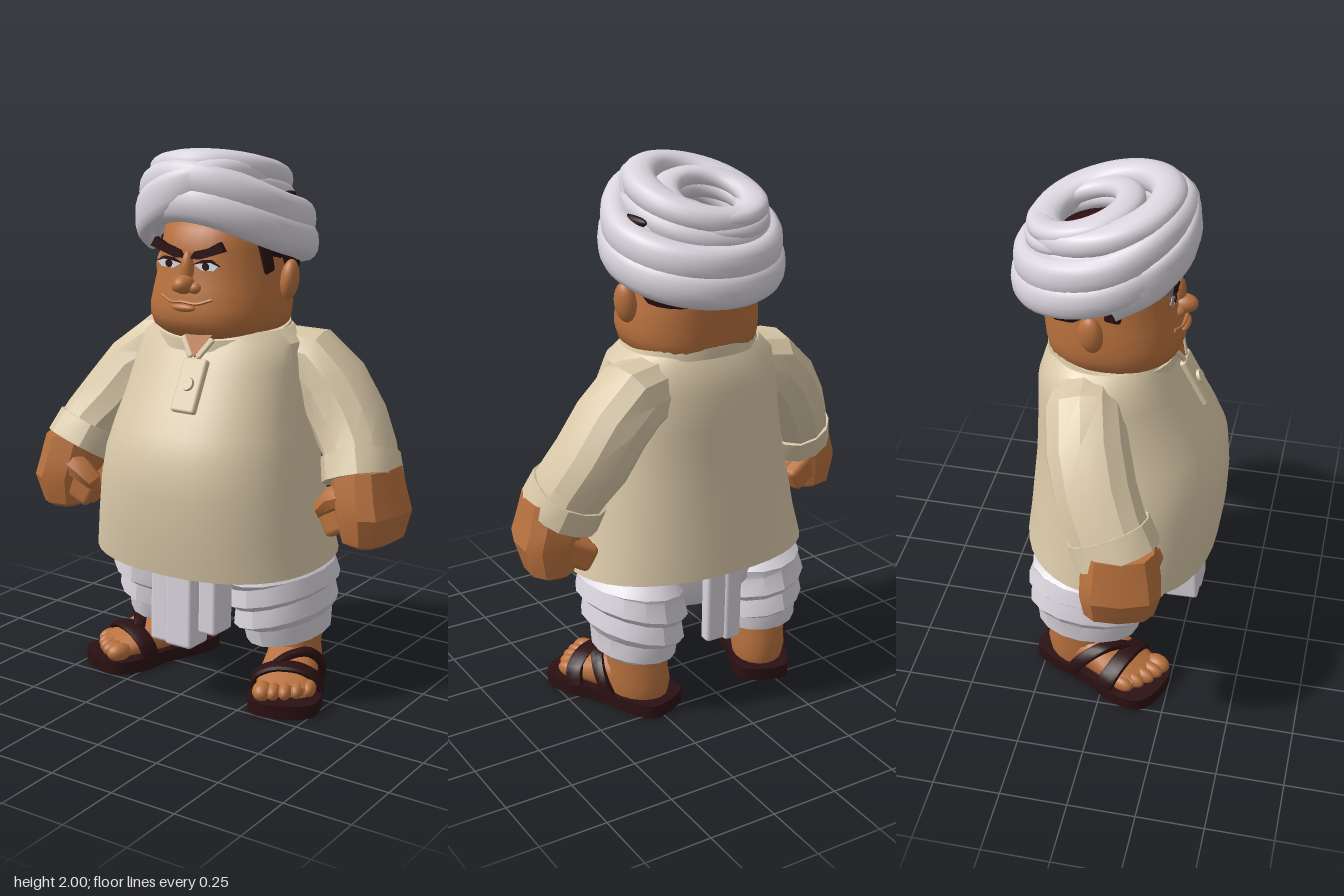
import * as THREE from 'three';
import { toCreasedNormals } from 'three/addons/utils/BufferGeometryUtils.js';
import { RoundedBoxGeometry } from 'three/addons/geometries/RoundedBoxGeometry.js';

const V = (x, y, z) => new THREE.Vector3(x, y, z);
const paint = (name, color) => Object.assign(new THREE.MeshStandardMaterial({ color }), { name });
const skin = paint('skin', 0xb8713e);
const cloth = paint('beige cloth', 0xd9c8a8);
const white = paint('white cotton', 0xdad5dd);
const dark = paint('dark brown', 0x2b1012);
const eyeWhite = paint('eye white', 0xdfe6ee);

function add(parent, name, geo, mat, pos = [0, 0, 0], rot = [0, 0, 0]) {
  const m = new THREE.Mesh(geo, mat);
  m.name = name;
  m.position.set(...pos);
  m.rotation.set(...rot);
  parent.add(m);
  return m;
}

// Skin through rings {c, u, v}; n is the superellipse power, u x v points along the rings
function loft(rings, { seg = 24, n = 2, closed = false, caps = true, crease = 0.7 } = {}) {
  const pos = [], idx = [], R = rings.length;
  const bend = (t) => Math.sign(t) * Math.abs(t) ** (2 / n);
  for (const { c, u, v } of rings)
    for (let j = 0; j < seg; j++) {
      const t = (j / seg) * Math.PI * 2;
      const p = c.clone().addScaledVector(u, bend(Math.cos(t))).addScaledVector(v, bend(Math.sin(t)));
      pos.push(p.x, p.y, p.z);
    }
  for (let i = 0; i < (closed ? R : R - 1); i++)
    for (let j = 0; j < seg; j++) {
      const k = (j + 1) % seg, a = i * seg, b = ((i + 1) % R) * seg;
      idx.push(a + j, a + k, b + k, a + j, b + k, b + j);
    }
  if (caps && !closed) {
    pos.push(...rings[0].c.toArray(), ...rings[R - 1].c.toArray());
    for (let j = 0; j < seg; j++) {
      const k = (j + 1) % seg, e = (R - 1) * seg;
      idx.push(R * seg, k, j, R * seg + 1, e + j, e + k);
    }
  }
  const g = new THREE.BufferGeometry();
  g.setAttribute('position', new THREE.Float32BufferAttribute(pos, 3));
  g.setIndex(idx);
  return toCreasedNormals(g, crease);
}

// Upright stack: [y, half width, front z, back z, rise to the back, rise to +x, centre x]
const stack = (rows, opt) => loft(rows.map(([y, rx, zf, zb, back = 0, side = 0, cx = 0]) => ({
  c: V(cx, y, (zf + zb) / 2), u: V(rx, side, 0), v: V(0, back, -(zf - zb) / 2),
})), opt);

// Sweep along points; radii are [along ref, across ref], one pair or one per point
function sweep(pts, radii, ref, opt = {}) {
  const N = pts.length;
  return loft(pts.map((c, i) => {
    const p = pts[opt.closed ? (i + N - 1) % N : Math.max(i - 1, 0)];
    const q = pts[opt.closed ? (i + 1) % N : Math.min(i + 1, N - 1)];
    const d = q.clone().sub(p).normalize();
    const u = ref.clone().addScaledVector(d, -ref.dot(d)).normalize();
    const [a, b] = Array.isArray(radii[0]) ? radii[i] : radii;
    return { c, u: u.clone().multiplyScalar(a), v: d.cross(u).multiplyScalar(b) };
  }), opt);
}
const smooth = (pts, n = 24) => new THREE.CatmullRomCurve3(pts.map((p) => V(...p))).getPoints(n);
const ball = (x, y, z) => new THREE.SphereGeometry(1, 20, 14).scale(x, y, z);
const plate = (pts, depth) => new THREE.ExtrudeGeometry(
  new THREE.Shape(pts.map((p) => new THREE.Vector2(...p))), { depth, bevelEnabled: false });
const UP = V(0, 1, 0), FRONT = V(0, 0, 1);

function buildHead(g) {
  add(g, 'head', stack([
    [1.325, 0.14, 0.12, -0.18], [1.335, 0.2, 0.165, -0.24], [1.37, 0.237, 0.208, -0.265], [1.41, 0.246, 0.222, -0.272],
    [1.45, 0.248, 0.22, -0.275], [1.52, 0.236, 0.206, -0.282], [1.58, 0.225, 0.19, -0.287],
    [1.65, 0.215, 0.185, -0.287], [1.72, 0.2, 0.17, -0.28], [1.8, 0.15, 0.1, -0.22],
  ], { seg: 36, n: 2.3, crease: 1 }), skin);
  add(g, 'hair', stack([
    [1.55, 0.222, 0, -0.292], [1.572, 0.232, 0.0, -0.302], [1.7, 0.236, 0.02, -0.302],
  ], { n: 2.3 }), dark);
  add(g, 'crown', ball(0.23, 0.18, 0.24), dark, [0, 1.66, -0.07]);
  add(g, 'noseTip', ball(0.036, 0.034, 0.05), skin, [0, 1.535, 0.212]);
  add(g, 'noseBridge', ball(0.025, 0.07, 0.03), skin, [0, 1.58, 0.188]);
  add(g, 'lowerLip', ball(0.05, 0.015, 0.02), skin, [0, 1.454, 0.218]);
  const smile = smooth([[-0.105, 1.487, 0.194], [-0.05, 1.47, 0.211], [0, 1.474, 0.218], [0.05, 1.47, 0.211], [0.105, 1.487, 0.194]], 20);
  add(g, 'upperLip', sweep(smile, [0.007, 0.009], UP, { seg: 8 }), skin);
  for (const s of [-1, 1]) {
    const flip = (pts) => pts.map(([x, y]) => [s * x, y]);
    add(g, 'nostril', ball(0.026, 0.022, 0.028), skin, [s * 0.036, 1.523, 0.195]);
    add(g, 'ear', ball(0.033, 0.073, 0.045), skin, [s * 0.266, 1.54, -0.06], [0, s * 0.3, -s * 0.1]);
    add(g, 'sideburn', new RoundedBoxGeometry(0.03, 0.13, 0.06, 2, 0.012), dark, [s * 0.21, 1.63, 0.012], [0.15, 0, s * 0.08]);
    add(g, 'eyebrow', plate(flip([[0.014, 1.625], [0.03, 1.65], [0.09, 1.666], [0.135, 1.69], [0.155, 1.658],
      [0.1, 1.64], [0.05, 1.624]]), 0.022), dark, [0, 0, 0.176]);
    add(g, 'eye', plate(flip([[0.03, 1.603], [0.06, 1.614], [0.1, 1.617], [0.128, 1.605], [0.11, 1.588], [0.06, 1.586]]), 0.009), eyeWhite, [0, 0, 0.184]);
    add(g, 'upperLid', plate(flip([[0.022, 1.604], [0.06, 1.622], [0.1, 1.626], [0.135, 1.605], [0.1, 1.616], [0.06, 1.612]]), 0.009), dark, [0, 0, 0.187]);
    add(g, 'pupil', new THREE.CylinderGeometry(0.014, 0.014, 0.006, 16), dark, [s * 0.078, 1.601, 0.193], [Math.PI / 2, 0, 0]);
  }
}

function buildTurban(g) {
  // Each wrap is a pair of folds lying side by side
  const wrap = (name, cx, cz, rx, rz, h, t, height) => {
    for (const k of [-1, 1]) {
      const pts = Array.from({ length: 48 }, (_, i) => {
        const a = (i / 48) * Math.PI * 2, c = Math.cos(a), s = Math.sin(a), r = 1 - k * 0.02;
        return V(cx + rx * c * r, height(c, s) + k * h * 0.38, cz + rz * s * r);
      });
      add(g, name, sweep(pts, [h * 0.62, t], UP, { seg: 16, n: 2.4, closed: true, crease: 1 }), white);
    }
  };
  wrap('lowerWrap', 0, -0.065, 0.268, 0.268, 0.108, 0.056, (c, s) => 1.73 + 0.07 * s + 0.06 * Math.max(0, s) ** 2);
  wrap('middleWrap', -0.02, -0.055, 0.195, 0.215, 0.08, 0.06, (c, s) => 1.86 + 0.06 * s + 0.02 * c);
  wrap('topWrap', -0.035, -0.125, 0.157, 0.155, 0.055, 0.05, (c, s) => 1.865 + 0.045 * s);
  const sash = smooth([[-0.28, 1.69, 0.0], [-0.215, 1.755, 0.145], [-0.1, 1.825, 0.225], [0.02, 1.885, 0.222],
    [0.12, 1.915, 0.155], [0.175, 1.9, 0.05], [0.19, 1.85, -0.06], [0.2, 1.76, -0.15]], 32);
  add(g, 'crossWrap', sweep(sash, sash.map((_, i) => [0.08 - 0.0012 * i, 0.036]), UP, { seg: 16, n: 2.5, crease: 1 }), white);
  add(g, 'wrapGap', ball(0.02, 0.022, 0.09), dark, [0.24, 1.825, -0.06], [0.08, 0.1, 0]);
}

function buildTunic(g) {
  add(g, 'tunic', stack([
    [0.535, 0.455, 0.355, -0.342, 0.024], [0.53, 0.466, 0.366, -0.352, 0.024], [0.66, 0.438, 0.385, -0.338, 0.01],
    [0.8, 0.415, 0.39, -0.325], [0.92, 0.39, 0.38, -0.313], [1.01, 0.37, 0.342, -0.308], [1.1, 0.35, 0.292, -0.305],
    [1.24, 0.33, 0.218, -0.3], [1.32, 0.31, 0.175, -0.275], [1.365, 0.255, 0.15, -0.25],
  ], { seg: 40, n: 2.3, crease: 0.6 }), cloth);
  add(g, 'collar', stack([
    [1.325, 0.262, 0.195, -0.272, 0.03], [1.365, 0.25, 0.192, -0.272, 0.03],
    [1.365, 0.235, 0.178, -0.258, 0.03], [1.325, 0.235, 0.178, -0.258, 0.03],
  ], { seg: 32, caps: false, crease: 0.5 }), cloth);
  add(g, 'neckOpening', plate([[-0.02, 0.045], [0.04, -0.04], [0.1, 0.045]], 0.009), skin, [0, 1.315, 0.193], [-0.35, 0, 0]);
  add(g, 'placket', new RoundedBoxGeometry(0.1, 0.2, 0.03, 2, 0.01), cloth, [0.05, 1.185, 0.252], [-0.48, 0, 0]);
  add(g, 'button', new THREE.CylinderGeometry(0.024, 0.026, 0.016, 18), cloth, [0.05, 1.195, 0.268], [Math.PI / 2 - 0.48, 0, 0]);
  for (const s of [-1, 1])
    add(g, 'collarPoint', new RoundedBoxGeometry(0.024, 0.09, 0.016, 2, 0.008), cloth,
      [0.04 + s * 0.038, 1.312, 0.2], [-0.35, 0, -s * 0.6]);
}

// Arms hang at different depths: z runs from the shoulder to the wrist
function buildArm(g, s, z) {
  const path = [[0.2, 1.235], [0.3, 1.225], [0.385, 1.15], [0.465, 1.03], [0.525, 0.94], [0.56, 0.85]].map(([x, y], i) => V(s * x, y, z[i]));
  const radii = [[0.12, 0.128], [0.14, 0.136], [0.148, 0.132], [0.148, 0.133], [0.145, 0.125], [0.146, 0.128]];
  add(g, 'sleeve', sweep(path, radii, FRONT, { seg: 12, n: 2.2, crease: 0.5 }), cloth);
  const cuff = [path[4].clone().lerp(path[5], 0.2), path[5].clone().add(V(0, -0.01, 0))];
  add(g, 'cuff', sweep(cuff, [[0.152, 0.132], [0.157, 0.136]], FRONT, { seg: 14, n: 2.3, crease: 0.5 }), cloth);

  const hand = new THREE.Group();
  hand.name = 'hand';
  hand.position.set(s * 0.58, 0.75, z[5] + 0.01);
  hand.rotation.y = -s * 0.2;
  g.add(hand);
  add(hand, 'fist', stack([
    [-0.137, 0.05, 0.085, -0.095, 0, 0, s * 0.03], [-0.115, 0.085, 0.125, -0.13, 0, 0, s * 0.03],
    [-0.01, 0.112, 0.15, -0.145, 0, 0, s * 0.034], [0.06, 0.112, 0.142, -0.138, 0, 0, s * 0.014],
    [0.15, 0.108, 0.125, -0.125, 0, 0, -s * 0.004],
  ], { seg: 10, n: 2.8, crease: 0.5 }), skin);
  for (let i = 0; i < 4; i++)
    add(hand, 'finger', new RoundedBoxGeometry(0.14, 0.1, 0.066, 2, 0.022), skin,
      [-s * 0.05, -0.055 + 0.008 * Math.abs(i - 1.5), 0.09 - i * 0.061], [0, 0, s * 0.5]);
  add(hand, 'thumb', sweep([V(0, 0.06, 0.085), V(-s * 0.07, 0.03, 0.11), V(-s * 0.115, -0.01, 0.105), V(-s * 0.125, -0.045, 0.095)],
    [[0.045, 0.055], [0.044, 0.046], [0.038, 0.036], [0.02, 0.018]], FRONT, { seg: 8, crease: 0.6 }), skin);
}

function buildLegs(g) {
  add(g, 'hips', stack([[0.38, 0.24, 0.14, -0.22], [0.45, 0.36, 0.22, -0.26], [0.54, 0.37, 0.25, -0.26]]), white);
  for (const s of [-1, 1]) {
    // Draped trouser leg: each fold juts out below and leans in above, tucked in under the tunic
    add(g, 'drapedLeg', stack([
      [0.2, 0.11, 0.03, -0.25], [0.213, 0.145, 0.11, -0.278], [0.275, 0.15, 0.125, -0.285], [0.3, 0.176, 0.17, -0.312],
      [0.365, 0.165, 0.165, -0.298], [0.39, 0.192, 0.205, -0.318], [0.455, 0.176, 0.2, -0.298],
      [0.475, 0.186, 0.22, -0.3], [0.54, 0.14, 0.2, -0.23],
    ].map(([y, rx, zf, zb], i) => [y, rx, zf, zb, 0.01, s * 0.04 * Math.min(1, i / 3, (8 - i) / 2), s * (0.27 - i * 0.0025)]),
    { seg: 16, crease: 0.5 }), white);

    const foot = new THREE.Group();
    foot.name = 'foot';
    foot.position.set(s * 0.315, 0, -0.015);
    foot.rotation.y = s * 0.4;
    g.add(foot);
    const outline = new THREE.Shape();
    outline.setFromPoints(new THREE.SplineCurve([[0, -0.275], [0.085, -0.255], [0.11, -0.16], [0.112, 0], [0.135, 0.12], [0.11, 0.235],
      [0, 0.265], [-0.11, 0.235], [-0.135, 0.12], [-0.112, 0], [-0.11, -0.16], [-0.085, -0.255], [0, -0.275]]
      .map((p) => new THREE.Vector2(...p))).getPoints(48));
    const sole = new THREE.ExtrudeGeometry(outline, { depth: 0.05, bevelEnabled: false }).rotateX(Math.PI / 2);
    add(foot, 'sandalSole', toCreasedNormals(sole, 0.6), dark, [0, 0.05, 0]);
    add(foot, 'ankle', stack([[0.045, 0.095, 0.01, -0.235], [0.1, 0.104, 0.015, -0.245], [0.15, 0.1, 0.01, -0.235],
      [0.26, 0.108, 0.005, -0.23]], { seg: 18, crease: 1 }), skin);
    add(foot, 'instep', sweep([V(0, 0.1, -0.12), V(0, 0.105, -0.03), V(0, 0.09, 0.06), V(0, 0.08, 0.13), V(0, 0.072, 0.185)],
      [[0.08, 0.09], [0.08, 0.098], [0.06, 0.105], [0.042, 0.108], [0.028, 0.095]], UP, { seg: 18, n: 2.3, crease: 1 }), skin);
    for (let i = 0; i < 5; i++) // big toe on the inner side
      add(foot, 'toe', ball(i ? 0.026 : 0.036, i ? 0.03 : 0.035, 0.05), skin,
        [s * (-0.075 + i * 0.041), 0.076, 0.2 - 0.0036 * i * i]);
    const strap = (name, pts, w) => add(foot, name, sweep(smooth(pts, 16), [w, 0.014], FRONT, { seg: 10, n: 3 }), dark);
    strap('toeStrap', [[-0.124, 0.045, 0.085], [-0.11, 0.098, 0.1], [-0.055, 0.133, 0.108], [0, 0.14, 0.11],
      [0.055, 0.133, 0.108], [0.11, 0.098, 0.1], [0.124, 0.045, 0.085]], 0.036);
    strap('sideStrap', [[s * 0.112, 0.045, -0.07], [s * 0.11, 0.11, -0.03], [s * 0.065, 0.166, 0.025],
      [0, 0.16, 0.06], [-s * 0.04, 0.14, 0.09]], 0.025);
  }
  // Hanging pleats, front and back: [x, width, bottom y, z, depth]
  for (const [x, w, y, z, d] of [[-0.055, 0.08, 0.22, 0.24, 0.13], [0.03, 0.115, 0.215, 0.25, 0.12],
    [0.142, 0.075, 0.28, 0.23, 0.12], [-0.035, 0.07, 0.25, -0.285, 0.05], [0.035, 0.08, 0.26, -0.28, 0.05]])
    add(g, 'pleat', new RoundedBoxGeometry(w, 0.57 - y, d, 2, 0.014), white, [x, (0.57 + y) / 2, z], [-0.03, 0, 0]);
}

export function createModel() {
  const model = new THREE.Group();
  model.name = 'turbanedMan';
  const part = (name, build, ...args) => {
    const g = new THREE.Group();
    g.name = name;
    build(g, ...args);
    model.add(g);
  };
  part('headGroup', buildHead);
  part('turban', buildTurban);
  part('tunicGroup', buildTunic);
  part('leftArm', buildArm, 1, [-0.13, -0.155, -0.165, -0.16, -0.13, -0.095]);
  part('rightArm', buildArm, -1, [-0.09, -0.08, -0.05, -0.005, 0.045, 0.095]);
  part('legs', buildLegs);
  return model;
}
